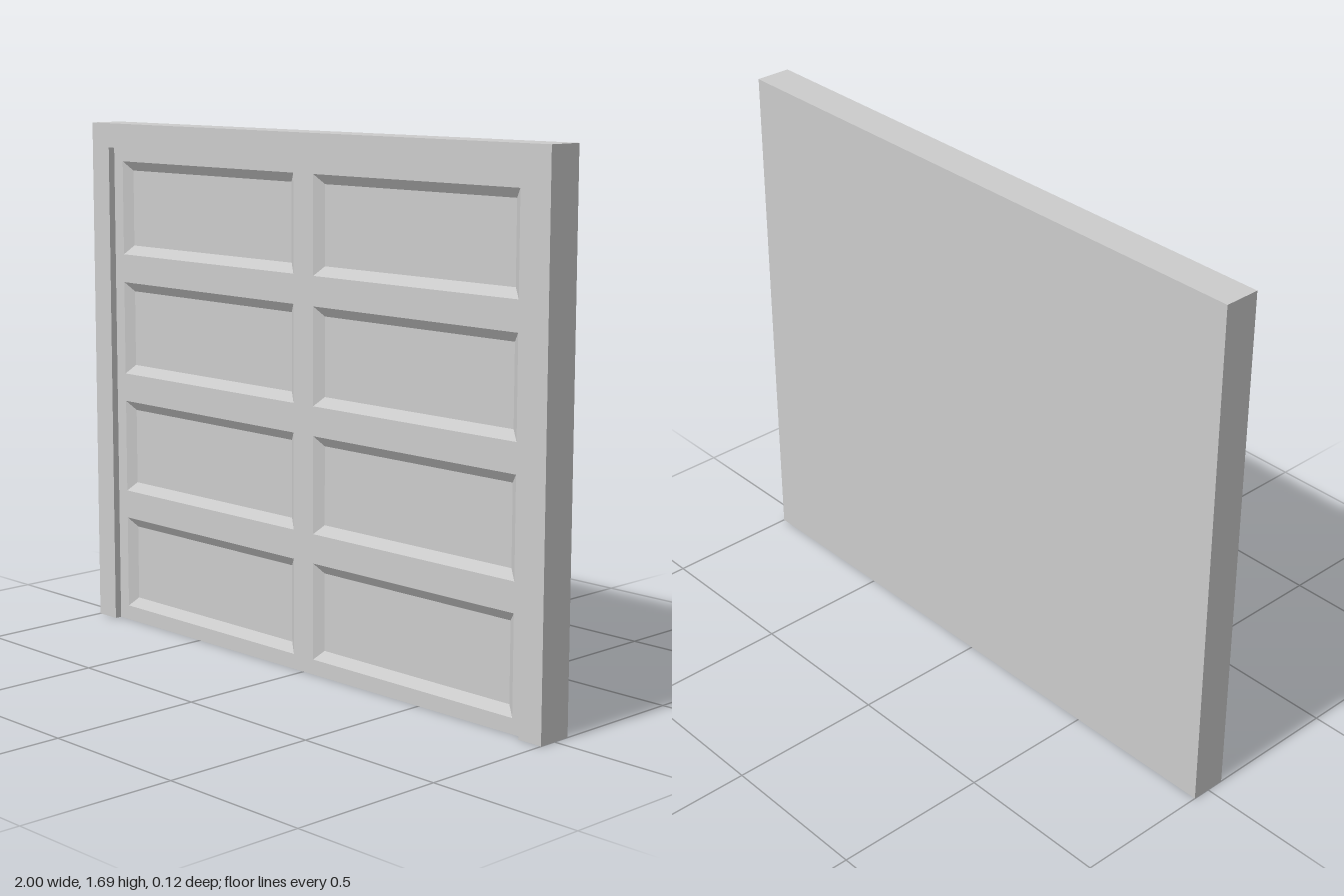
import * as THREE from 'three';

const HALF_DEPTH = 0.058, HEIGHT = 1.69;
const OPEN_X = 0.915, OPEN_Y = 1.61;   // door opening
const DOOR_Z = 0.035;                  // door face, set back from the frame
const RECESS = 0.021, BEVEL = 0.03;    // coffered panels

const material = new THREE.MeshStandardMaterial({ color: 0xcccccc, flatShading: true });

function addMesh(parent, name, geometry, x = 0, y = 0, z = 0) {
  const mesh = new THREE.Mesh(geometry, material);
  mesh.name = name;
  mesh.position.set(x, y, z);
  parent.add(mesh);
  return mesh;
}

// Corners of a rectangle, anticlockwise
const corners = (w, h) => [[-w / 2, -h / 2], [w / 2, -h / 2], [w / 2, h / 2], [-w / 2, h / 2]];

// Four mitred slopes running inwards and back from a w by h rectangle
function bevelRing(w, h) {
  const outer = corners(w, h).map(([x, y]) => [x, y, 0]);
  const inner = corners(w - 2 * BEVEL, h - 2 * BEVEL).map(([x, y]) => [x, y, -RECESS]);
  const points = [];
  for (let i = 0; i < 4; i++) {
    const j = (i + 1) % 4;
    points.push(...outer[i], ...outer[j], ...inner[j], ...outer[i], ...inner[j], ...inner[i]);
  }
  const geometry = new THREE.BufferGeometry();
  geometry.setAttribute('position', new THREE.Float32BufferAttribute(points, 3));
  geometry.computeVertexNormals();
  return geometry;
}

export function createModel() {
  const group = new THREE.Group();
  group.name = 'garageDoor';

  // Surround: two jambs and a lintel in one piece
  const outline = [[-1, 0], [-OPEN_X, 0], [-OPEN_X, OPEN_Y], [OPEN_X, OPEN_Y],
    [OPEN_X, 0], [1, 0], [1, HEIGHT], [-1, HEIGHT]];
  const frameShape = new THREE.Shape(outline.map(([x, y]) => new THREE.Vector2(x, y)));
  addMesh(group, 'frame',
    new THREE.ExtrudeGeometry(frameShape, { depth: 2 * HALF_DEPTH, bevelEnabled: false }), 0, 0, -HALF_DEPTH);

  const door = new THREE.Group();
  door.name = 'door';
  group.add(door);

  // Backing slab, whose front is the floor of the panels
  const slabDepth = DOOR_Z - RECESS + HALF_DEPTH;
  addMesh(door, 'doorBacking', new THREE.BoxGeometry(2 * OPEN_X, OPEN_Y, slabDepth),
    0, OPEN_Y / 2, -HALF_DEPTH + slabDepth / 2);

  // Door face with two columns of four sunk panels
  const face = new THREE.Shape([[-OPEN_X, 0], [OPEN_X, 0], [OPEN_X, OPEN_Y], [-OPEN_X, OPEN_Y]]
    .map(([x, y]) => new THREE.Vector2(x, y)));
  const panelW = 0.827, panelH = 0.309, pitch = OPEN_Y / 4;
  const bevel = bevelRing(panelW, panelH);
  for (const side of [-1, 1]) {
    for (let row = 0; row < 4; row++) {
      const cx = side * 0.4575, cy = pitch * (row + 0.5) + 0.002;
      face.holes.push(new THREE.Path(corners(panelW, panelH)
        .map(([x, y]) => new THREE.Vector2(cx + x, cy + y)).reverse()));
      addMesh(door, 'panelBevel', bevel, cx, cy, DOOR_Z);
    }
  }
  addMesh(door, 'doorFace',
    new THREE.ExtrudeGeometry(face, { depth: RECESS, bevelEnabled: false }), 0, 0, DOOR_Z - RECESS);

  return group;
}
